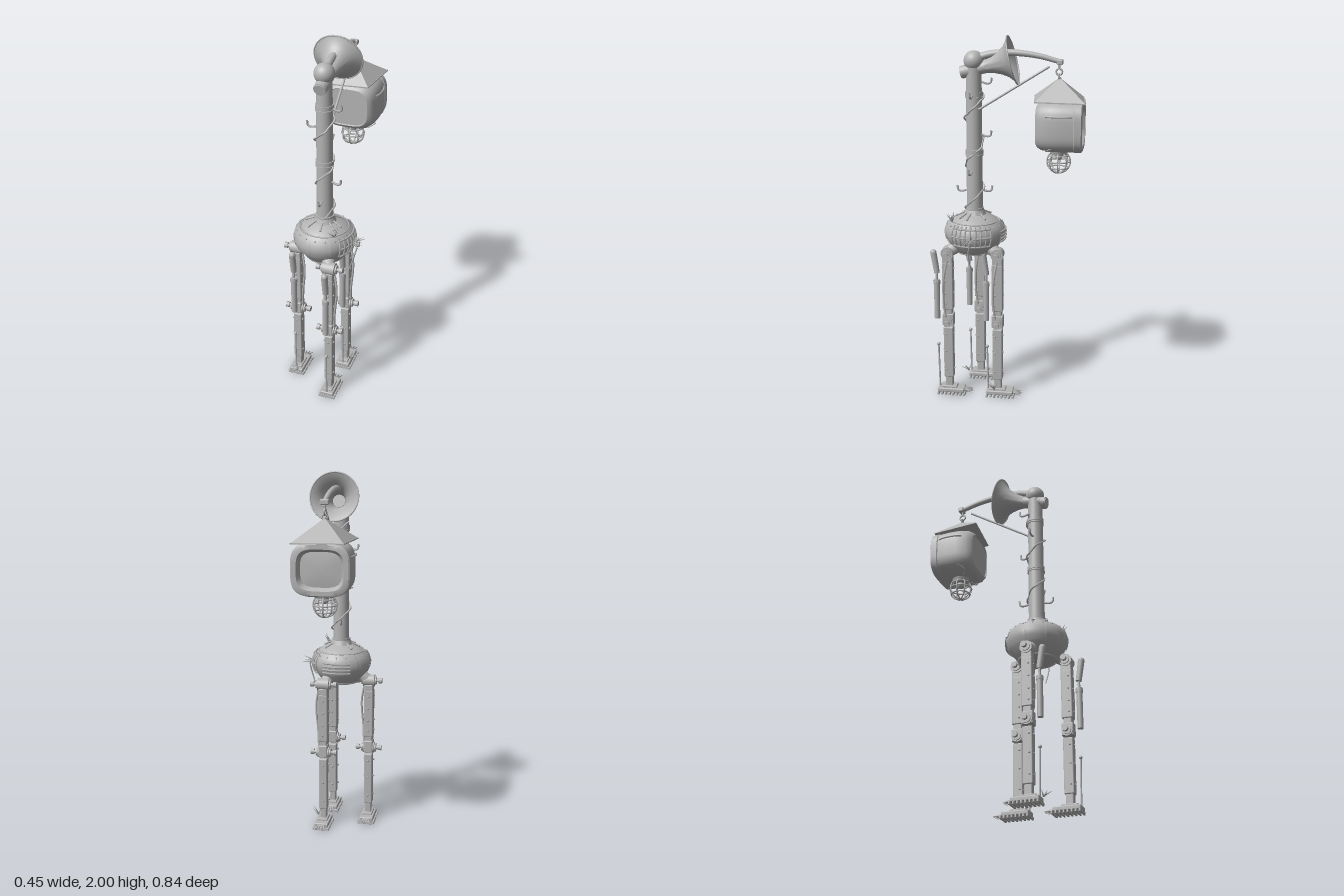
import * as THREE from 'three';
import { toCreasedNormals } from 'three/addons/utils/BufferGeometryUtils.js';
import { RoundedBoxGeometry } from 'three/addons/geometries/RoundedBoxGeometry.js';

const metal = new THREE.MeshStandardMaterial({ color: 0xb4b4b4, side: THREE.DoubleSide });
metal.name = 'grey metal';
const V = (x, y, z) => new THREE.Vector3(x, y, z);
const CZ = 0.18; // depth of the mast, body and middle leg

export function createModel() {
  const root = new THREE.Group();
  root.name = 'lampWalker';

  // helpers
  const add = (name, geo, parent = root, x = 0, y = 0, z = 0) => {
    const m = new THREE.Mesh(geo, metal);
    m.name = name;
    m.position.set(x, y, z);
    parent.add(m);
    return m;
  };
  const group = (name, x, y, z, parent = root) => {
    const g = new THREE.Group();
    g.name = name;
    g.position.set(x, y, z);
    parent.add(g);
    return g;
  };
  const tube = (name, pts, r, parent = root, seg = 16) =>
    add(name, new THREE.TubeGeometry(new THREE.CatmullRomCurve3(pts), seg, r, 6), parent);
  const rod = (name, a, b, r0, r1, parent = root, sides = 12) => {
    const d = b.clone().sub(a);
    const m = add(name, new THREE.CylinderGeometry(r1, r0, d.length(), sides), parent);
    m.position.copy(a).addScaledVector(d, 0.5);
    m.quaternion.setFromUnitVectors(V(0, 1, 0), d.normalize());
    return m;
  };
  const lathe = (name, pts, parent, seg = 40, from = 0, arc = Math.PI * 2) =>
    add(name, toCreasedNormals(new THREE.LatheGeometry(pts.map(p => new THREE.Vector2(...p)), seg, from, arc), 0.6), parent);
  const box = (name, w, h, d, parent, x, y, z, r = 0.006) =>
    add(name, new RoundedBoxGeometry(w, h, d, 2, r), parent, x, y, z);
  const spikes = (name, x, y, z, dir, n, len) => {
    for (let i = 0; i < n; i++) {
      const a = i * 2.4;
      const d = dir.clone().add(V(Math.cos(a) * 0.6, Math.sin(a * 1.7) * 0.6, Math.sin(a) * 0.6)).normalize();
      rod(name, V(x, y, z), V(x, y, z).addScaledVector(d, len * (0.7 + 0.3 * Math.sin(i * 3))), 0.005, 0.0005, root, 5);
    }
  };

  // body shell
  const body = group('body', 0, 0, CZ);
  lathe('bodyShell', [[0, 0.81], [0.08, 0.815], [0.105, 0.83], [0.145, 0.88], [0.158, 0.91], [0.162, 0.94],
    [0.152, 0.975], [0.132, 0.995], [0.126, 1.0], [0.1, 1.02], [0.06, 1.035], [0.05, 1.06]], body, 48);
  // armour plates around the belt, leaving the left side open for the grille
  for (let i = 0; i < 6; i++) {
    lathe('beltPlate', [[0.152, 0.885], [0.164, 0.91], [0.169, 0.94], [0.158, 0.978], [0.136, 1.0], [0.13, 0.996]],
      body, 12, 2.4 + i * 0.74, 0.7);
  }
  for (let i = 0; i < 9; i++) {
    const a = 0.85 + i * 0.18;
    const s = Math.sin(a), c = Math.cos(a);
    tube('grilleRib', [[0.15, 0.885], [0.163, 0.92], [0.163, 0.95], [0.14, 0.995]].map(p => V(p[0] * s, p[1], p[0] * c)), 0.005, body, 8);
  }
  const hoop = (name, r, y, from, arc, t) => {
    const m = add(name, new THREE.TorusGeometry(r, t, 6, 32, arc), body, 0, y, 0);
    m.rotation.set(Math.PI / 2, 0, from);
    m.rotation.order = 'XYZ';
    return m;
  };
  [[0.152, 0.885], [0.164, 0.935], [0.152, 0.98]].forEach(([r, y]) => hoop('grilleBar', r, y, -0.72, 1.44, 0.005));
  [0.9, 0.918, 0.936, 0.954].forEach((y, i) => hoop('rearVent', 0.166 + (i % 3 ? 0.003 : 0), y, -2.05, 0.95, 0.005));
  hoop('domeRim', 0.127, 1.0, 0, Math.PI * 2, 0.004);
  hoop('bellyRim', 0.1, 0.828, 0, Math.PI * 2, 0.006);
  // pegs and bolts on the dome
  [0.1, 0.8, 1.3, 2.3, 3.9, 4.8, 5.6].forEach(a => {
    const s = Math.sin(a), c = Math.cos(a);
    rod('domePeg', V(s * 0.055, 1.045, c * 0.055), V(s * 0.1, 1.025, c * 0.1), 0.005, 0.005, body, 8);
    add('domeBolt', new THREE.SphereGeometry(0.007, 8, 6), body, s * 0.1, 1.025, c * 0.1);
  });
  for (let i = 0; i < 18; i++) {
    const a = i * Math.PI / 9;
    add('beltBolt', new THREE.SphereGeometry(0.005, 6, 5), body, Math.sin(a) * 0.152, 0.985, Math.cos(a) * 0.152);
  }

  // mast with collars, pegs and a climbing cable
  const mast = group('mast', 0, 0, CZ);
  rod('mastPole', V(0, 1.03, 0), V(0, 1.87, 0), 0.044, 0.041, mast, 32);
  [[1.06, 0.05], [1.38, 0.048], [1.69, 0.047]].forEach(([y, r]) => {
    rod('mastCollar', V(0, y - 0.011, 0), V(0, y + 0.011, 0), r, r, mast, 32);
    rod('mastCollarBand', V(0, y - 0.022, 0), V(0, y - 0.014, 0), r, r, mast, 32);
  });
  add('mastBall', new THREE.SphereGeometry(0.053, 28, 18), mast, 0, 1.863, 0);
  [[1.755, 3.1], [1.575, -1.6], [1.685, 1.5], [1.475, 3], [1.275, 1.4], [1.17, 3.3], [1.17, 0]].forEach(([y, a]) => {
    const s = Math.sin(a), c = Math.cos(a);
    tube('mastHook', [[0.035, 0], [0.07, -0.01], [0.09, -0.005], [0.095, 0.02]].map(p => V(p[0] * s, y + p[1], p[0] * c)), 0.006, mast, 10);
  });
  const vine = [];
  for (let i = 0; i <= 40; i++) {
    const a = i * 0.42, r = 0.048 + 0.006 * Math.sin(i * 1.9);
    vine.push(V(r * Math.sin(a), 1.06 + i * 0.0165, r * Math.cos(a)));
  }
  tube('climbingCable', vine, 0.005, mast, 160);

  // horn through the mast head, mouth facing back and slightly up
  const horn = group('horn', 0, 1.868, -0.027);
  horn.quaternion.setFromUnitVectors(V(0, 1, 0), V(0, 0.24, -0.97).normalize());
  lathe('hornBell', [[0.03, -0.2], [0.033, -0.15], [0.043, -0.11], [0.06, -0.07], [0.083, -0.035], [0.112, -0.01], [0.131, 0]], horn, 48);
  add('hornRim', new THREE.TorusGeometry(0.129, 0.004, 8, 48), horn).rotation.x = Math.PI / 2;
  rod('hornThroat', V(0, -0.28, 0), V(0, -0.14, 0), 0.034, 0.034, horn, 24);
  rod('hornPlug', V(0, -0.235, 0), V(0, -0.285, 0), 0.037, 0.03, horn, 24);

  // arm, strut and hanging ring
  const armCurve = new THREE.CatmullRomCurve3([V(0, 1.875, 0.17), V(0, 1.9, 0.08), V(0, 1.907, -0.03), V(0, 1.893, -0.16), V(0, 1.862, -0.28)]);
  const armGeo = new THREE.TubeGeometry(armCurve, 32, 0.02, 12);
  const ap = armGeo.attributes.position;
  for (let i = 0; i < ap.count; i++) { // taper towards the tip
    const t = Math.floor(i / 13) / 32, c = armCurve.getPointAt(t), p = V(0, 0, 0).fromBufferAttribute(ap, i);
    p.sub(c).multiplyScalar(1.05 - 0.4 * t).add(c);
    ap.setXYZ(i, p.x, p.y, p.z);
  }
  add('arm', armGeo);
  box('armTip', 0.046, 0.028, 0.03, root, 0, 1.862, -0.275);
  rod('armStrut', V(0.03, 1.61, 0.15), V(0.015, 1.84, -0.22), 0.006, 0.006);
  rod('hangerPin', V(0, 1.86, -0.27), V(0, 1.825, -0.27), 0.006, 0.006);
  add('hangerRing', new THREE.TorusGeometry(0.016, 0.005, 8, 20), root, 0, 1.812, -0.27).rotation.y = Math.PI / 2;
  add('roofLoop', new THREE.TorusGeometry(0.014, 0.004, 8, 20), root, 0, 1.787, -0.27);

  // lantern head: skewed tent roof
  const head = group('head', 0, 0, -0.273);
  const roofGeo = new THREE.CylinderGeometry(0.05, 1, 0.11, 4, 1, true).scale(0.17, 1, 0.208).rotateY(Math.PI * 0.75).toNonIndexed();
  roofGeo.computeVertexNormals();
  add('roof', roofGeo, head, 0, 1.722, 0);
  const eaves = new THREE.CylinderGeometry(1, 1, 0.006, 4).scale(0.17, 1, 0.208).rotateY(Math.PI * 0.75).toNonIndexed();
  eaves.computeVertexNormals();
  add('roofEaves', eaves, head, 0, 1.667, 0);
  rod('roofPeg', V(0, 1.76, 0), V(0, 1.785, 0), 0.012, 0.007, head);

  // rounded cabinet lofted front to back, ending in a recessed screen
  const loft = (name, secs) => {
    const N = 48, pos = [], idx = [];
    const pw = v => Math.sign(v) * Math.abs(v) ** 0.58;
    secs.forEach(([z, a, b]) => {
      for (let i = 0; i < N; i++) {
        const t = (i / N) * Math.PI * 2;
        pos.push(a * pw(Math.cos(t)), b * pw(Math.sin(t)), z);
      }
    });
    for (let s = 0; s < secs.length - 1; s++) for (let i = 0; i < N; i++) {
      const a = s * N + i, b = s * N + (i + 1) % N;
      idx.push(a, a + N, b, b, a + N, b + N);
    }
    const g = new THREE.BufferGeometry();
    g.setAttribute('position', new THREE.Float32BufferAttribute(pos, 3));
    g.setIndex(idx);
    g.computeVertexNormals();
    return add(name, toCreasedNormals(g, 0.6), head, 0, 1.535, 0);
  };
  loft('cabinet', [[0.108, 0.0005, 0.0005], [0.108, 0.112, 0.1], [0.115, 0.115, 0.104], [0.108, 0.126, 0.115], [0.085, 0.142, 0.128],
    [0.03, 0.153, 0.135], [-0.03, 0.155, 0.136], [-0.085, 0.15, 0.134], [-0.09, 0.154, 0.137], [-0.125, 0.152, 0.135],
    [-0.13, 0.145, 0.128], [-0.13, 0.122, 0.105], [-0.1, 0.106, 0.09], [-0.104, 0.07, 0.06], [-0.108, 0.0005, 0.0005]]);
  [-1, 1].forEach(s => {
    tube('sideHandle', [V(s * 0.145, 1.6, 0.06), V(s * 0.156, 1.6, 0.03), V(s * 0.156, 1.6, -0.05), V(s * 0.145, 1.6, -0.08)], 0.005, head);
    tube('looseWire', [V(s * 0.05, 1.4, 0.04), V(s * 0.1, 1.41, 0.06), V(s * 0.14, 1.43, 0.03)], 0.003, head);
  });

  // caged bulb below the cabinet
  rod('bulbSocket', V(0, 1.375, 0), V(0, 1.405, 0), 0.04, 0.05, head, 24);
  for (let i = 0; i < 4; i++)
    add('cageHoop', new THREE.TorusGeometry(0.062, 0.004, 6, 32), head, 0, 1.338, 0).rotation.y = i * Math.PI / 4;
  [[1.34, 0.062], [1.305, 0.052], [1.372, 0.052]].forEach(([y, r]) => {
    add('cageRing', new THREE.TorusGeometry(r, 0.004, 6, 32), head, 0, y, 0).rotation.x = Math.PI / 2;
  });
  add('bulb', new THREE.SphereGeometry(0.02, 16, 12), head, 0, 1.365, 0);

  // three identical legs
  [[-0.16, CZ], [0.075, 0.045], [0.075, 0.32]].forEach(([x, z]) => {
    const leg = group('leg', x, 0, z);
    rod('hipMount', V(0, 0.83, 0), V(-x * 0.45, 0.87, (CZ - z) * 0.45), 0.03, 0.04, leg);
    [[0.83, 0.034], [0.435, 0.03]].forEach(([y, r]) => {
      rod('jointDrum', V(-0.032, y, 0), V(0.032, y, 0), r, r, leg, 20);
      rod('jointPin', V(-0.06, y, 0), V(0.06, y, 0), 0.009, 0.009, leg);
      [-1, 1].forEach(s => {
        rod('jointKnob', V(s * 0.054, y, 0), V(s * 0.073, y, 0), 0.016, 0.016, leg, 8);
        rod('jointWasher', V(s * 0.034, y, 0), V(s * 0.042, y, 0), 0.024, 0.024, leg);
      });
    });
    box('hipBlock', 0.05, 0.05, 0.058, leg, 0, 0.785, 0);
    box('thigh', 0.052, 0.27, 0.06, leg, 0, 0.64, 0);
    box('thighSleeve', 0.042, 0.04, 0.046, leg, 0, 0.495, 0);
    box('kneeBlock', 0.05, 0.07, 0.064, leg, 0, 0.445, 0);
    box('shin', 0.046, 0.3, 0.054, leg, 0, 0.25, 0);
    box('ankle', 0.036, 0.08, 0.042, leg, 0, 0.075, 0);
    for (let i = 0; i < 7; i++) {
      const y = [0.74, 0.67, 0.6, 0.54, 0.36, 0.26, 0.15][i];
      [-1, 1].forEach(s => {
        add('rivet', new THREE.SphereGeometry(0.006, 6, 5), leg, s * 0.026, y, 0.012);
        add('rivet', new THREE.SphereGeometry(0.006, 6, 5), leg, 0, y, s * 0.03 - s * (i > 3 ? 0.003 : 0));
      });
    }
    // pistons on the front of each leg
    rod('upperPiston', V(0, 0.825, 0.08), V(0, 0.71, 0.062), 0.018, 0.016, leg);
    add('pistonCap', new THREE.SphereGeometry(0.018, 12, 8), leg, 0, 0.825, 0.08);
    rod('pistonRod', V(0, 0.71, 0.063), V(0, 0.66, 0.064), 0.007, 0.007, leg);
    rod('lowerPiston', V(0, 0.67, 0.064), V(0, 0.445, 0.064), 0.017, 0.016, leg);
    rod('pistonBand', V(0, 0.665, 0.064), V(0, 0.645, 0.064), 0.02, 0.02, leg);
    tube('hose', [V(0.03, 0.79, 0), V(0.045, 0.7, 0.015), V(0.035, 0.55, 0.02), V(0.03, 0.46, 0.01)], 0.006, leg);
    rod('shinRod', V(0, 0.29, 0.06), V(0, 0.03, 0.055), 0.005, 0.005, leg, 8);
    add('shinRodKnob', new THREE.SphereGeometry(0.01, 10, 8), leg, 0, 0.29, 0.06);
    // foot with treads and splayed toes
    box('foot', 0.078, 0.024, 0.15, leg, 0, 0.026, -0.012);
    box('footTop', 0.055, 0.014, 0.09, leg, 0, 0.042, 0, 0.004);
    for (let i = 0; i < 8; i++) box('tread', 0.094, 0.016, 0.01, leg, 0, 0.008, 0.058 - i * 0.021, 0.002);
    [-0.5, -0.17, 0.17, 0.5].forEach(a => {
      rod('toe', V(Math.sin(a) * 0.02, 0.028, -0.08), V(Math.sin(a) * 0.06, 0.018, -0.08 - 0.058 * Math.cos(a)), 0.009, 0.001, leg, 6);
    });
  });

  // weeds and a dangling creeper
  spikes('weed', 0.155, 0.93, CZ, V(1, 0.2, 0), 9, 0.075);
  spikes('weed', 0.09, 1.01, 0.29, V(0, 1, 0), 7, 0.07);
  spikes('weed', -0.15, 0.04, 0.25, V(-0.3, 0.6, 0.3), 5, 0.06);
  spikes('weed', 0.11, 0.05, 0.06, V(0.3, 1, 0), 4, 0.08);
  tube('creeper', [V(0.15, 0.96, CZ), V(0.178, 0.92, CZ), V(0.165, 0.84, CZ + 0.01), V(0.135, 0.75, CZ)], 0.004);
  return root;
}
